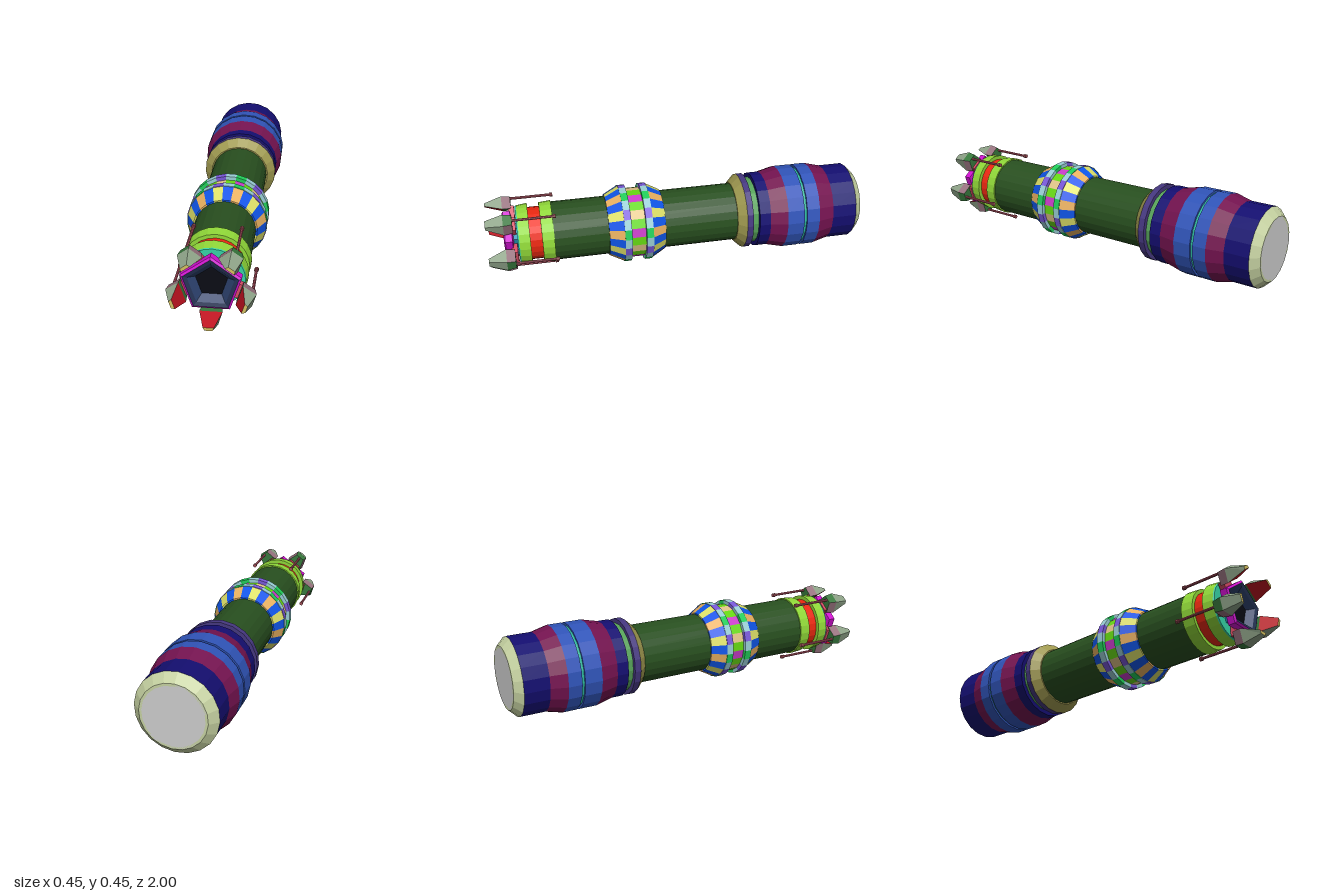
import * as THREE from 'three';
import { mergeGeometries } from 'three/addons/utils/BufferGeometryUtils.js';

const RAD = Math.PI / 180;

const paint = (color) =>
  new THREE.MeshStandardMaterial({ color, flatShading: true });

function add(parent, name, geometry, color) {
  const mesh = new THREE.Mesh(geometry, paint(color));
  mesh.name = name;
  parent.add(mesh);
  return mesh;
}

// Profile of [radius, z] pairs turned about the z axis
function turn(profile, sides, startDeg = 0, sweepDeg = 360) {
  const points = profile.map(([r, z]) => new THREE.Vector2(r, z));
  const g = new THREE.LatheGeometry(points, sides, startDeg * RAD, sweepDeg * RAD);
  return g.rotateX(Math.PI / 2);
}

// Ring from z0 to z1 with closed end walls
const band = (z0, r0, z1, r1, inner) => [[inner, z0], [r0, z0], [r1, z1], [inner, z1]];

// Ring of 24 cells with repeating colours, one mesh per colour
function cellRing(parent, name, profile, colors) {
  const cells = new Map();
  for (let k = 0; k < 24; k++) {
    const color = colors[k % colors.length];
    if (!cells.has(color)) cells.set(color, []);
    cells.get(color).push(turn(profile, 1, 170 - 15 * k, 15));
  }
  for (const [color, parts] of cells) add(parent, name, mergeGeometries(parts), color);
}

// Flat four-cornered face
function quad(a, b, c, d) {
  const g = new THREE.BufferGeometry();
  g.setAttribute('position', new THREE.Float32BufferAttribute([a, b, c, a, c, d].flat(), 3));
  g.computeVertexNormals();
  return g;
}

// Trapezoid across a claw: inner and outer radius with half widths
const section = (z, ri, wi, ro, wo) =>
  [[-wi, ri, z], [wi, ri, z], [wo, ro, z], [-wo, ro, z]];

// Wall i of a loft: 0 inner, 1 right, 2 outer, 3 left
const wall = (a, b, i) => quad(a[i], a[(i + 1) % 4], b[(i + 1) % 4], b[i]);

function createClaw() {
  const claw = new THREE.Group();
  claw.name = 'claw';
  const back = section(0.865, 0.135, 0.046, 0.2, 0.026);
  const mid = section(0.91, 0.135, 0.053, 0.205, 0.032);
  const tip = section(1, 0.162, 0.025, 0.178, 0.018);
  add(claw, 'clawBlockSides', mergeGeometries([wall(back, mid, 1), wall(back, mid, 3)]), 0x95707c);
  add(claw, 'clawBlock', mergeGeometries([
    wall(back, mid, 0), wall(back, mid, 2), quad(back[3], back[2], back[1], back[0]),
  ]), 0x37783c);
  add(claw, 'clawTipSides', mergeGeometries([1, 2, 3].map((i) => wall(mid, tip, i))), 0x8fa489);
  add(claw, 'clawInnerFace', wall(mid, tip, 0), 0xc01220);
  add(claw, 'clawPoint', quad(...tip), 0xd2bf60);

  // Strut to the nozzle and rod running back along the barrel
  const strut = new THREE.BoxGeometry(0.074, 0.06, 0.03);
  add(claw, 'clawStrut', strut.translate(0, 0.12, 0.865), 0xd84c64);
  const rod = new THREE.CylinderGeometry(0.007, 0.007, 0.22, 8).rotateX(Math.PI / 2);
  add(claw, 'clawRod', rod.translate(0, 0.192, 0.76), 0xb05060);
  const knob = new THREE.CylinderGeometry(0.011, 0.011, 0.016, 8).rotateX(Math.PI / 2);
  add(claw, 'rodEnd', knob.translate(0, 0.192, 0.652), 0xa05058);
  return claw;
}

export function createModel() {
  const model = new THREE.Group();
  model.name = 'device';
  const body = new THREE.Group();
  body.name = 'body';
  body.position.y = 0.225;
  model.add(body);

  // Main tube
  add(body, 'barrel', turn(band(-0.36, 0.155, 0.66, 0.155, 0), 24), 0x284f1f);

  // Rear housing: name, colour, z0, r0, z1, r1
  const rear = [
    ['endCapBevel', 0xc4d0a0, -1, 0.163, -0.96, 0.203],
    ['rearSleeve', 0x140e70, -0.96, 0.203, -0.83, 0.203],
    ['rearFlare', 0x741350, -0.83, 0.203, -0.745, 0.225],
    ['rearBulge', 0x3054b8, -0.745, 0.225, -0.675, 0.225],
    ['bulgeGroove', 0x2cb498, -0.675, 0.214, -0.66, 0.214],
    ['frontBulge', 0x3054b8, -0.66, 0.225, -0.57, 0.225],
    ['frontFlare', 0x741350, -0.57, 0.225, -0.48, 0.203],
    ['frontSleeve', 0x140e70, -0.48, 0.203, -0.42, 0.203],
    ['housingNeck', 0x55a058, -0.42, 0.18, -0.385, 0.18],
    ['housingRing', 0x45377f, -0.385, 0.203, -0.352, 0.203],
    ['housingShoulder', 0xa09a50, -0.352, 0.203, -0.31, 0.162],
  ];
  for (const [name, color, z0, r0, z1, r1] of rear) {
    add(body, name, turn(band(z0, r0, z1, r1, 0.15), 20, 4.1), color);
  }
  add(body, 'endDisc', turn([[0, -1], [0.163, -1]], 20, 4.1), 0xcccccc);

  // Patterned grip
  const stripes = [0x0f55e8, 0xe8b060, 0x0f55e8, 0xdde068];
  const checks = [0x66d812, 0xc83cc8, 0x66d812, 0xe0c488];
  const edges = [0x98cdd4, 0x20cc58, 0x98cdd4, 0x7858d8];
  cellRing(body, 'gripRearCone', band(0.08, 0.163, 0.153, 0.203, 0.15), stripes);
  cellRing(body, 'gripRearRing', band(0.153, 0.206, 0.19, 0.206, 0.15), edges);
  cellRing(body, 'gripCentre', band(0.19, 0.186, 0.265, 0.186, 0.15), checks);
  cellRing(body, 'gripFrontRing', band(0.265, 0.206, 0.302, 0.206, 0.15), edges);
  cellRing(body, 'gripFrontCone', band(0.302, 0.203, 0.378, 0.163, 0.15), stripes);

  // Collars at the front end
  add(body, 'rearCollar', turn(band(0.66, 0.162, 0.722, 0.157, 0), 24), 0x90d838);
  add(body, 'collarGroove', turn(band(0.722, 0.138, 0.782, 0.138, 0), 24), 0xe82810);
  add(body, 'frontCollar', turn(band(0.782, 0.16, 0.838, 0.153, 0), 24), 0x90d838);
  add(body, 'collarFace', turn(band(0.838, 0.153, 0.845, 0.15, 0), 24), 0x35d2a4);

  // Five-sided nozzle with a stepped bore
  add(body, 'nozzleNeck', turn([[0.105, 0.84], [0.105, 0.88]], 5, 36), 0x2494b8);
  add(body, 'nozzleShell',
    turn([[0.1, 0.866], [0.147, 0.872], [0.147, 0.908], [0.134, 0.915]], 5, 36), 0xd010d0);
  add(body, 'nozzleRim', turn([[0.134, 0.915], [0.112, 0.908]], 5, 36), 0x243254);
  add(body, 'nozzleBore', turn([[0.112, 0.908], [0.077, 0.875]], 5, 36), 0x2c406c);
  add(body, 'nozzleFloor', turn([[0.077, 0.875], [0, 0.875]], 5, 36), 0x0a0c14);

  // Claws opposite the flats of the nozzle
  for (let i = 0; i < 5; i++) {
    const claw = createClaw();
    claw.rotation.z = Math.PI + i * 72 * RAD;
    body.add(claw);
  }
  return model;
}
